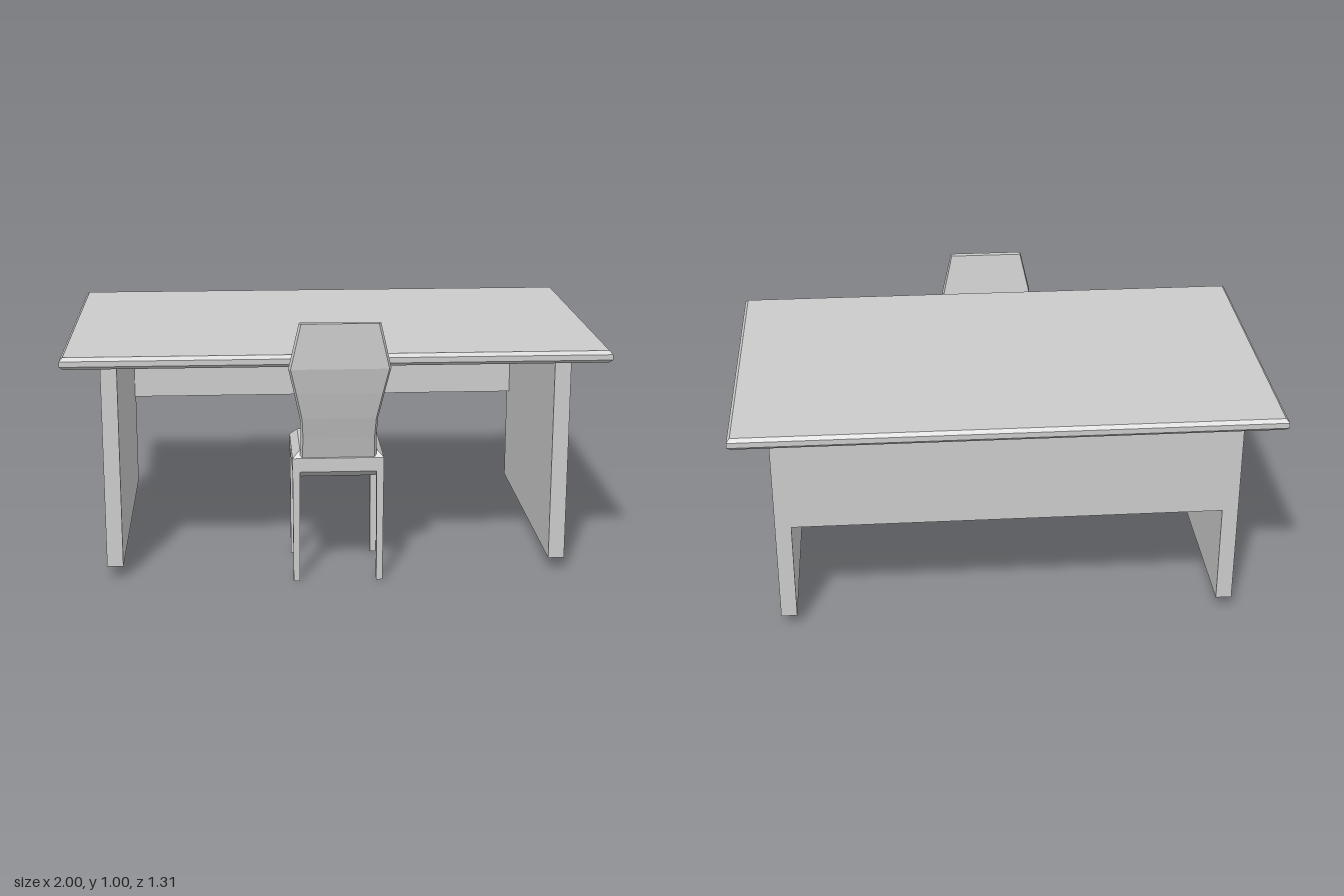
import * as THREE from 'three';

const material = new THREE.MeshStandardMaterial({ color: 0xcccccc, flatShading: true });

function add(parent, name, geometry) {
  const mesh = new THREE.Mesh(geometry, material);
  mesh.name = name;
  parent.add(mesh);
  return mesh;
}

// Box given by its two extreme corners
function box(parent, name, [x0, y0, z0], [x1, y1, z1]) {
  const mesh = add(parent, name, new THREE.BoxGeometry(x1 - x0, y1 - y0, z1 - z0));
  mesh.position.set((x0 + x1) / 2, (y0 + y1) / 2, (z0 + z1) / 2);
}

// Closed solid through rings of points, ordered bottom to top, each counter-clockwise from above
function loft(rings) {
  const out = [];
  const n = rings[0].length;
  const tri = (a, b, c) => out.push(...a, ...b, ...c);
  for (let i = 0; i < rings.length - 1; i++) {
    for (let j = 0; j < n; j++) {
      const k = (j + 1) % n;
      tri(rings[i][j], rings[i][k], rings[i + 1][k]);
      tri(rings[i][j], rings[i + 1][k], rings[i + 1][j]);
    }
  }
  const bottom = rings[0], top = rings[rings.length - 1];
  for (let j = 1; j < n - 1; j++) {
    tri(bottom[0], bottom[j + 1], bottom[j]);
    tri(top[0], top[j], top[j + 1]);
  }
  const geometry = new THREE.BufferGeometry();
  geometry.setAttribute('position', new THREE.Float32BufferAttribute(out, 3));
  geometry.computeVertexNormals();
  return geometry;
}

// Rectangle ring at height y
const rect = (y, w, zBack, zFront) => [[w, y, zFront], [w, y, zBack], [-w, y, zBack], [-w, y, zFront]];

function createDesk() {
  const desk = new THREE.Group();
  desk.name = 'desk';

  // Top with bevelled upper and lower edges
  add(desk, 'deskTop', loft([
    rect(0.82, 0.988, -0.643, 0.548),
    rect(0.832, 1, -0.655, 0.56),
    rect(0.852, 1, -0.655, 0.56),
    rect(0.865, 0.988, -0.643, 0.548),
  ]));

  // Side panels and the half-height panel at the back
  box(desk, 'leftPanel', [0.8, 0.05, -0.56], [0.86, 0.82, 0.5]);
  box(desk, 'rightPanel', [-0.86, 0.05, -0.56], [-0.8, 0.82, 0.5]);
  box(desk, 'backPanel', [-0.8, 0.44, -0.56], [0.8, 0.82, -0.5]);
  return desk;
}

function createChair() {
  const chair = new THREE.Group();
  chair.name = 'chair';

  // Seat with sloped rims above and below
  add(chair, 'seat', loft([
    rect(0.4, 0.135, 0.26, 0.53),
    rect(0.425, 0.168, 0.23, 0.56),
    rect(0.477, 0.168, 0.23, 0.56),
    rect(0.505, 0.14, 0.26, 0.54),
  ]));

  // Four slim legs, slightly tapered
  for (const side of [-1, 1]) {
    for (const [name, z] of [['frontLeg', 0.243], ['backLeg', 0.547]]) {
      const ring = (y, h) => rect(y, h, -h, h);
      const leg = add(chair, name, loft([ring(0, 0.0115), ring(0.43, 0.0135)]));
      leg.position.set(side * 0.154, 0, z);
    }
  }

  // Curved backrest: height, half width, inner, middle and outer z
  const levels = [
    [0.48, 0.14, 0.535, 0.55, 0.56],
    [0.56, 0.138, 0.551, 0.571, 0.583],
    [0.64, 0.142, 0.57, 0.593, 0.608],
    [0.74, 0.163, 0.587, 0.618, 0.634],
    [0.835, 0.184, 0.602, 0.64, 0.655],
    [1, 0.146, 0.63, 0.645, 0.655],
  ];
  add(chair, 'backrest', loft(levels.map(([y, w, inner, middle, outer]) => [
    [w - 0.008, y, outer], [w, y, middle], [w - 0.004, y, inner],
    [0.004 - w, y, inner], [-w, y, middle], [0.008 - w, y, outer],
  ])));
  return chair;
}

export function createModel() {
  const model = new THREE.Group();
  model.name = 'deskAndChair';
  model.add(createDesk(), createChair());
  return model;
}
